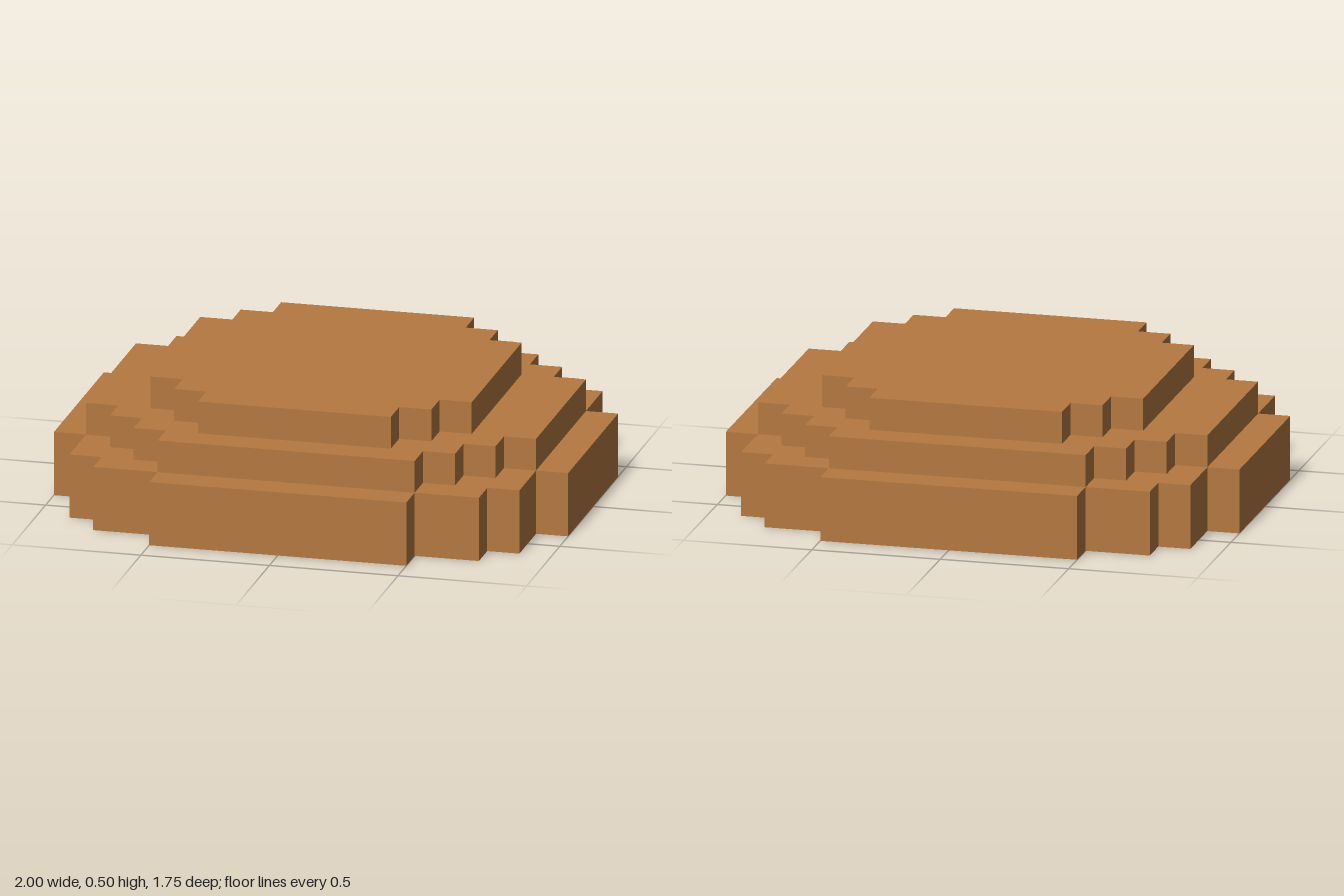
import * as THREE from 'three';

// Stepped outline, mirrored into all four quadrants from its outer corners
function steppedOutline(corners) {
  const quarter = [];
  corners.forEach(([x, z], i) => {
    if (i > 0) quarter.push([x, corners[i - 1][1]]); // inner corner
    quarter.push([x, z]);
  });
  const reversed = [...quarter].reverse();
  const points = [
    ...quarter,
    ...reversed.map(([x, z]) => [-x, z]),
    ...quarter.map(([x, z]) => [-x, -z]),
    ...reversed.map(([x, z]) => [x, -z]),
  ];
  return new THREE.Shape(points.map(([x, z]) => new THREE.Vector2(x, z)));
}

export function createModel() {
  const group = new THREE.Group();
  group.name = 'steppedMound';

  const brown = new THREE.MeshStandardMaterial({ color: 0xb47840 });
  brown.name = 'warmBrown';

  // Three tiers from the ground up
  const tiers = [
    { name: 'bottomTier', y: 0, height: 0.25, corners: [[1, 0.375], [0.875, 0.625], [0.75, 0.75], [0.5, 0.875]] },
    { name: 'middleTier', y: 0.25, height: 0.125, corners: [[0.875, 0.375], [0.75, 0.5], [0.625, 0.625], [0.5, 0.75]] },
    { name: 'topTier', y: 0.375, height: 0.125, corners: [[0.625, 0.375], [0.5, 0.5], [0.375, 0.625]] },
  ];

  for (const { name, y, height, corners } of tiers) {
    const geometry = new THREE.ExtrudeGeometry(steppedOutline(corners), { depth: height, bevelEnabled: false });
    geometry.rotateX(-Math.PI / 2);
    const mesh = new THREE.Mesh(geometry, brown);
    mesh.name = name;
    mesh.position.y = y;
    group.add(mesh);
  }
  return group;
}
